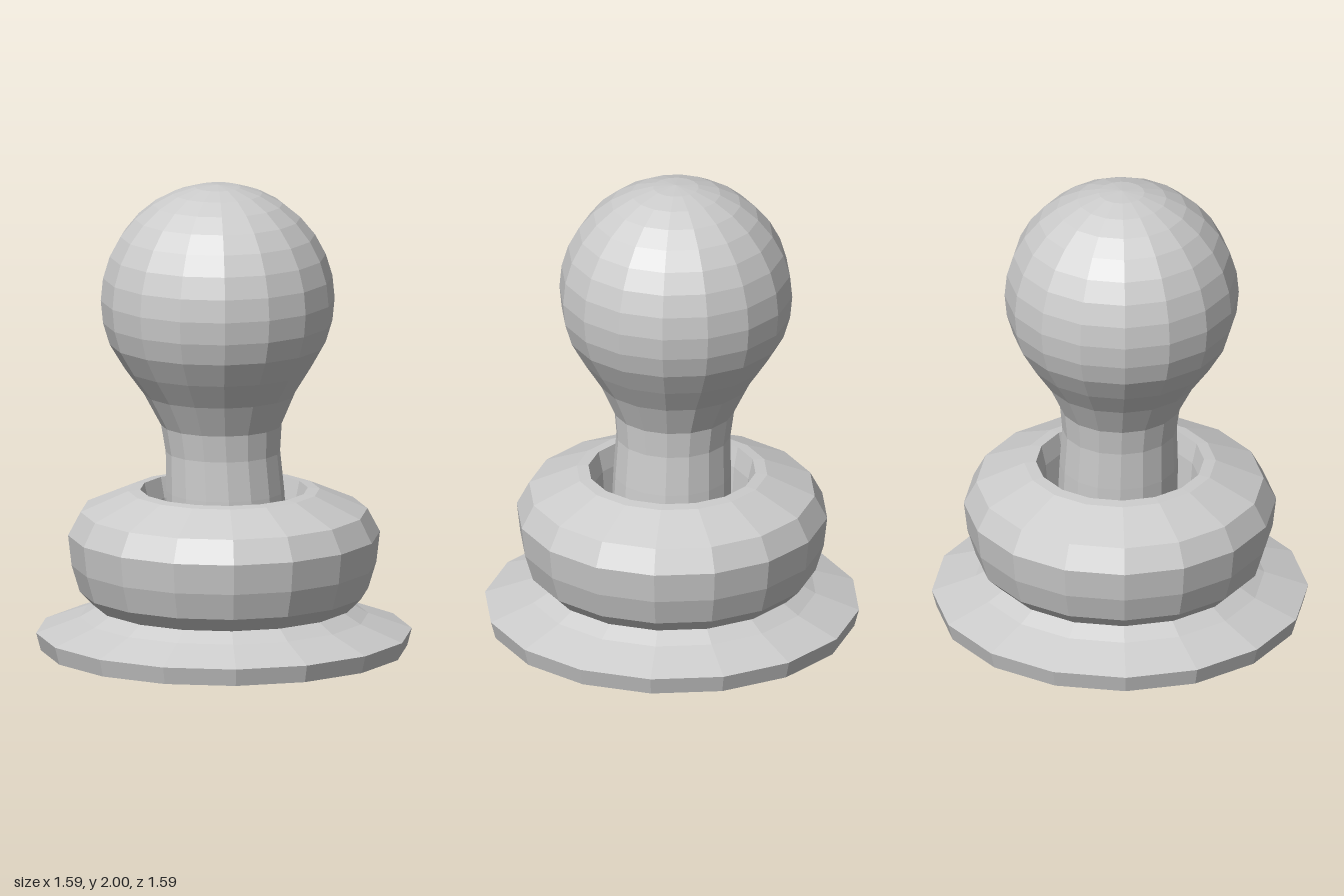
import * as THREE from 'three';

const SIDES = 16;
const material = new THREE.MeshStandardMaterial({ color: 0xcccccc, flatShading: true, side: THREE.DoubleSide });

// Faceted turned part from [radius, height] pairs, listed bottom to top on the outside
function turned(name, profile) {
  const points = profile.map(([r, y]) => new THREE.Vector2(r, y));
  const mesh = new THREE.Mesh(new THREE.LatheGeometry(points, SIDES), material);
  mesh.name = name;
  return mesh;
}

export function createModel() {
  const group = new THREE.Group();
  group.name = 'knobbedPiece';

  // Flared foot with a closed underside
  group.add(turned('base', [[0, 0], [0.775, 0], [0.795, 0.075], [0.61, 0.143], [0.52, 0.195]]));

  // Bulging collar with a recess around the stem
  group.add(turned('collar', [
    [0.52, 0.18], [0.55, 0.19], [0.61, 0.25], [0.645, 0.365], [0.66, 0.495],
    [0.607, 0.595], [0.405, 0.683], [0.355, 0.688], [0.335, 0.6], [0.32, 0.4], [0, 0.4],
  ]));

  // Stem swelling into a ball
  const profile = [[0.255, 0.4], [0.25, 0.68], [0.242, 0.85], [0.255, 0.965], [0.32, 1.1], [0.395, 1.21]];
  const radius = 0.495;
  for (let i = 10; i >= 0; i--) {
    const a = (i * Math.PI) / 16;
    profile.push([radius * Math.sin(a), 2 - radius + radius * Math.cos(a)]);
  }
  const knob = turned('stemAndKnob', profile);

  // The stem leans slightly, carrying the ball off centre
  const pos = knob.geometry.attributes.position;
  for (let i = 0; i < pos.count; i++) {
    const lean = 0.005 - 0.055 * (Math.min(pos.getY(i), 1.25) - 0.68);
    pos.setX(i, pos.getX(i) + lean);
    pos.setZ(i, pos.getZ(i) - 0.004);
  }
  knob.geometry.computeVertexNormals();
  group.add(knob);

  return group;
}
